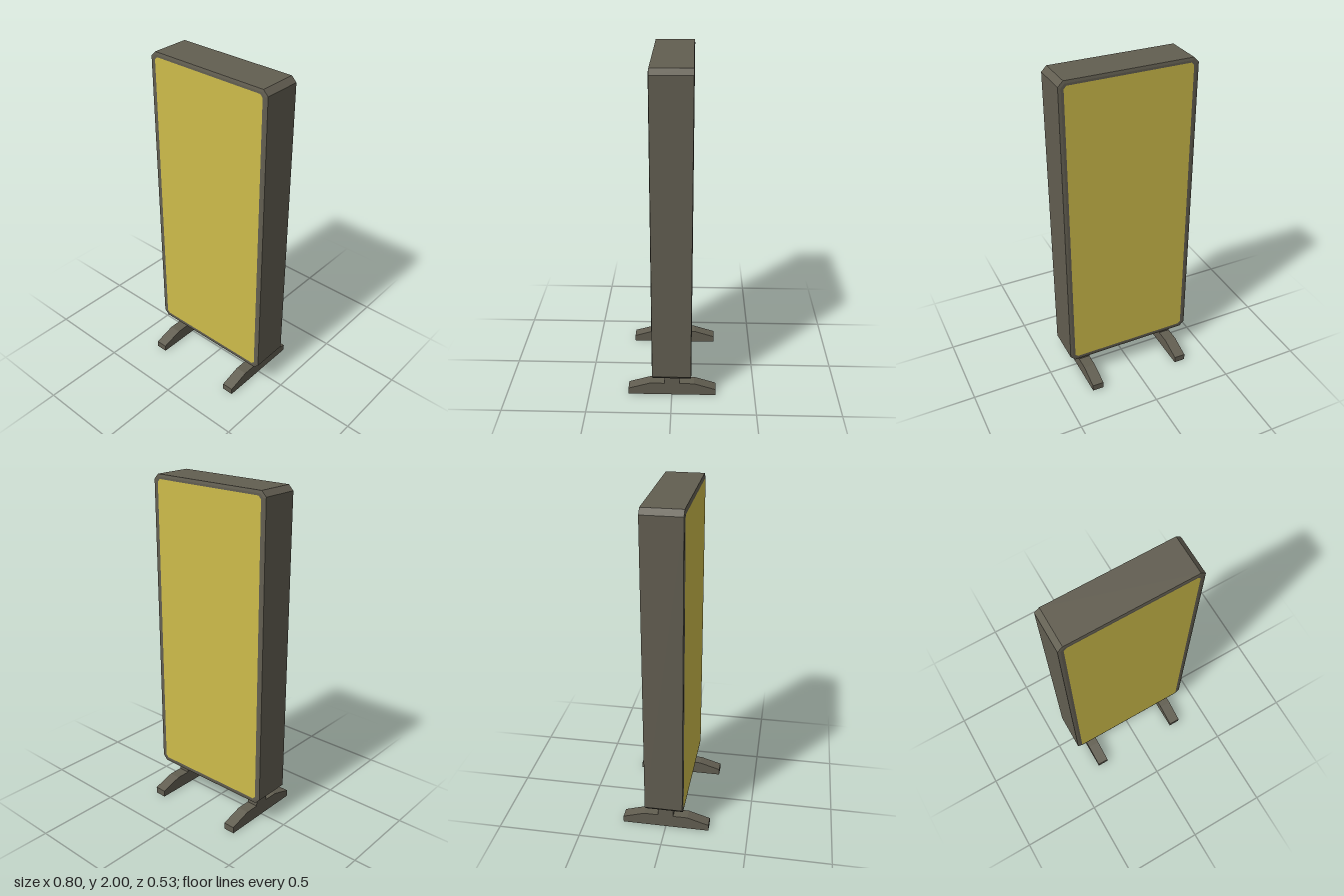
import * as THREE from 'three';

// Rectangle with cut corners, centred on the panel's middle height
function cutRect(halfW, bottom, top, cut) {
  return new THREE.Shape([
    [halfW - cut, bottom], [halfW, bottom + cut], [halfW, top - cut], [halfW - cut, top],
    [-halfW + cut, top], [-halfW, top - cut], [-halfW, bottom + cut], [-halfW + cut, bottom],
  ].map(([x, y]) => new THREE.Vector2(x, y)));
}

export function createModel() {
  const group = new THREE.Group();
  const frameMat = new THREE.MeshStandardMaterial({ color: 0x625e51 });
  frameMat.name = 'darkFrame';
  const panelMat = new THREE.MeshStandardMaterial({ color: 0xcdbc4a });
  panelMat.name = 'yellowPanel';

  const add = (name, geometry, material) => {
    const mesh = new THREE.Mesh(geometry, material);
    mesh.name = name;
    group.add(mesh);
    return mesh;
  };

  // Sign box with cut corners and a very shallow rim slope
  const bevel = 0.003;
  const depth = 0.226;
  const box = new THREE.ExtrudeGeometry(cutRect(0.4, 0.155, 2, 0.03), {
    depth, bevelEnabled: true, bevelThickness: bevel, bevelSize: 0.015, bevelOffset: -0.015, bevelSegments: 1,
  });
  box.translate(0, 0, -depth / 2 - 0.001);
  add('signBox', box, frameMat);

  // Thin display faces on both sides
  const face = cutRect(0.37, 0.182, 1.973, 0.016);
  const front = add('frontDisplay', new THREE.ShapeGeometry(face), panelMat);
  front.position.z = 0.116;
  const back = add('backDisplay', new THREE.ShapeGeometry(face), panelMat);
  back.rotation.y = Math.PI;
  back.position.z = -0.118;

  // Feet: tapered base and short post in one side profile
  const half = [[0.263, 0], [0.263, 0.04], [0.133, 0.08], [0.046, 0.08], [0.046, 0.16]];
  const outline = [...half, ...half.map(([z, y]) => [-z, y]).reverse()];
  const profile = new THREE.Shape(outline.map(([z, y]) => new THREE.Vector2(z, y)));
  const width = 0.07;
  const foot = new THREE.ExtrudeGeometry(profile, { depth: width, bevelEnabled: false });
  foot.translate(0, 0, -width / 2);
  foot.rotateY(Math.PI / 2);
  for (const [name, x] of [['leftFoot', 0.284], ['rightFoot', -0.294]]) {
    add(name, foot, frameMat).position.set(x, 0, -0.001);
  }

  return group;
}
